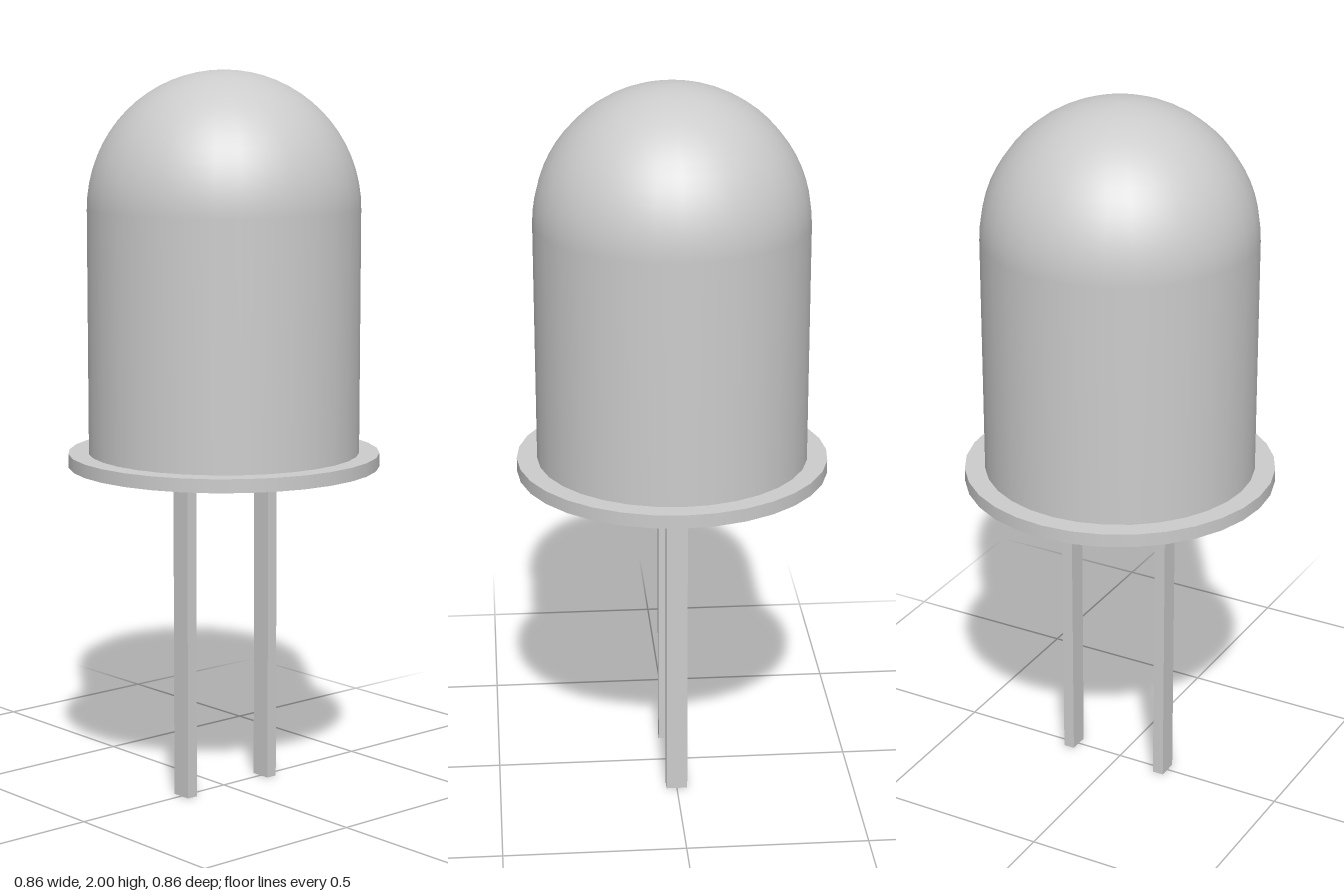
import * as THREE from 'three';

export function createModel() {
  const model = new THREE.Group();
  const material = new THREE.MeshStandardMaterial({ color: 0xcccccc });
  const add = (name, geometry, x, y, z) => {
    const mesh = new THREE.Mesh(geometry, material);
    mesh.name = name;
    mesh.position.set(x, y, z);
    model.add(mesh);
  };

  const sides = 32;
  const radius = 0.373;
  const flangeBottom = 0.92, flangeTop = 0.957;
  const domeBase = 2 - radius;

  // Lens: straight wall running smoothly into a hemispherical dome
  const profile = [new THREE.Vector2(radius, flangeTop)];
  const steps = 16;
  for (let i = 0; i <= steps; i++) {
    const a = (i / steps) * Math.PI / 2;
    profile.push(new THREE.Vector2(i === steps ? 0 : radius * Math.cos(a), domeBase + radius * Math.sin(a)));
  }
  add('lens', new THREE.LatheGeometry(profile, sides), 0, 0, 0);

  // Flat round flange under the lens
  const thickness = flangeTop - flangeBottom;
  add('flange', new THREE.CylinderGeometry(0.429, 0.429, thickness, sides), 0, flangeBottom + thickness / 2, 0);

  // Two flat wire legs, slightly off centre
  for (const [name, x] of [['rightLeg', -0.141], ['leftLeg', 0.155]]) {
    add(name, new THREE.BoxGeometry(0.032, flangeBottom, 0.059), x, flangeBottom / 2, 0);
  }

  return model;
}
